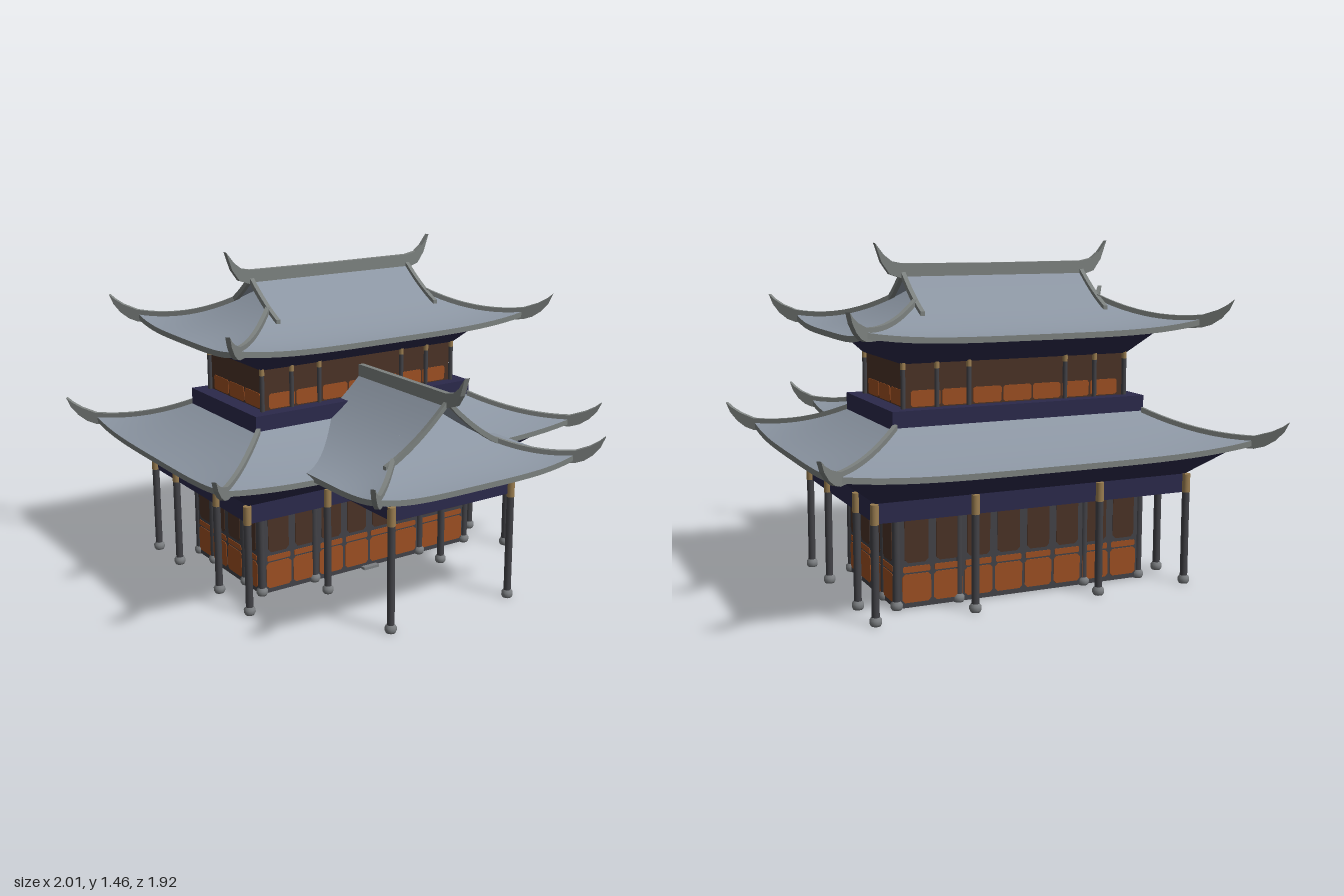
import * as THREE from 'three';

const mat = (name, color, side = THREE.FrontSide) => {
  const m = new THREE.MeshStandardMaterial({ color, side });
  m.name = name;
  return m;
};
const TILE = mat('roofTile', 0x8c96a3, THREE.DoubleSide);
const RIDGE = mat('ridgeGrey', 0x7c817f, THREE.DoubleSide);
const NAVY = mat('navyTimber', 0x2b294b, THREE.DoubleSide);
const POST = mat('darkTimber', 0x424247);
const ORANGE = mat('orangePanel', 0x9c4f22);
const BROWN = mat('brownLattice', 0x4a3226);
const TAN = mat('tanCap', 0x9a7d50);
const STONE = mat('baseStone', 0x7c7f82);
const CZ = -0.2175; // centre of the main hall

function add(parent, name, geo, material, x = 0, y = 0, z = 0, ry = 0) {
  const m = new THREE.Mesh(geo, material);
  m.name = name;
  m.position.set(x, y, z);
  m.rotation.y = ry;
  parent.add(m);
  return m;
}

// Box between heights y0 and y1, with its upper half sizes optionally flared
function block(parent, name, material, hx, hz, y0, y1, z = 0, flare = 0) {
  const g = new THREE.BoxGeometry(2 * hx, y1 - y0, 2 * hz);
  const p = g.attributes.position;
  for (let i = 0; i < p.count; i++) if (p.getY(i) > 0) {
    p.setX(i, p.getX(i) + Math.sign(p.getX(i)) * flare);
    p.setZ(i, p.getZ(i) + Math.sign(p.getZ(i)) * flare);
  }
  g.computeVertexNormals();
  return add(parent, name, g, material, 0, (y0 + y1) / 2, z);
}

// Surface through f(s, t) with s from -1 to 1 and t from 0 to 1
function sheet(f, ns, nt) {
  const pos = [], idx = [];
  for (let j = 0; j <= nt; j++) for (let i = 0; i <= ns; i++) {
    pos.push(...f(-1 + 2 * i / ns, j / nt));
    if (i < ns && j < nt) {
      const a = j * (ns + 1) + i, b = a + ns + 1;
      idx.push(a, a + 1, b, a + 1, b + 1, b);
    }
  }
  const g = new THREE.BufferGeometry();
  g.setAttribute('position', new THREE.Float32BufferAttribute(pos, 3));
  g.setIndex(idx);
  g.computeVertexNormals();
  return g;
}

function extrude(points, depth) {
  const g = new THREE.ExtrudeGeometry(new THREE.Shape(points.map(p => new THREE.Vector2(...p))),
    { depth, bevelEnabled: false });
  return g.translate(0, 0, -depth / 2);
}

// Curved hip-and-gable roof; ridge along x, eave half sizes A and B.
// d is the distance in from the eave, G the gable's x, open drops the -x end.
function roof(name, { A, B, y0, a, b, dMax, dEnd, G = 0, tip, dHip, dBarge = 0, open = false }) {
  const r = new THREE.Group();
  r.name = name;
  const thick = 0.024, dUnder = 0.24;
  const h = d => y0 + a * d + b * d * d;
  const fade = d => Math.max(0, 1 - d / 0.3) ** 2;
  const lift = (s, d) => open && s < 0 ? 0 : 0.035 * Math.abs(s) ** 4 * fade(d);
  const ends = open ? [1] : [1, -1];
  const longSide = (k, s, d, drop) => {
    const w = Math.max(A - d, G);
    const x = open ? -A + (s + 1) / 2 * (w + A) : s * w;
    return [x, h(d) + lift(s, d) - drop, k * (B - d)];
  };
  const endSide = (k, s, d, drop) =>
    [k * (A - d), h(d) + 0.035 * Math.abs(s) ** 4 * fade(d) - drop, s * (B - d)];

  // Slope, underside and eave trim of one side
  const face = (f, k, depth) => {
    add(r, 'slope', sheet((s, t) => f(k, s, t * depth, 0), 24, 16), TILE);
    add(r, 'underside', sheet((s, t) => f(k, s, t * dUnder, thick), 24, 8), NAVY);
    add(r, 'eaveTrim', sheet((s, t) => f(k, s, 0, thick * (1 - t)), 24, 1), RIDGE);
  };
  for (const k of [1, -1]) face(longSide, k, dMax);
  for (const k of ends) face(endSide, k, dEnd);

  // Strip that rides on the slope profile, running outwards along +x
  const strip = (d0, d1, scale, low, high, corner, tail = []) => {
    const up = [], down = [];
    for (let i = 0; i <= 10; i++) {
      const d = d0 + (d1 - d0) * i / 10;
      const y = h(d) + (corner ? 0.035 * fade(d) : 0);
      up.push([-d * scale, y + high]);
      down.unshift([-d * scale, y - low]);
    }
    return extrude([...up, ...tail, ...down], 0.019);
  };
  const u = tip * Math.SQRT2;
  const tail = [[u * 0.5, y0 + 0.075], [u * 0.8, y0 + 0.097], [u, y0 + 0.118],
    [u * 0.85, y0 + 0.075], [u * 0.6, y0 + 0.038], [u * 0.3, y0 + 0.012]];
  const hip = strip(dHip, 0, Math.SQRT2, 0.035, 0.018, true, tail);
  for (const sx of ends) for (const sz of [1, -1]) {
    add(r, 'hipRidge', hip, RIDGE, sx * A, 0, sz * B, Math.atan2(-sz, sx));
    if (G) add(r, 'bargeRidge', strip(dMax, dBarge, 1, 0.008, 0.018, false), RIDGE,
      sx * G, 0, sz * B, -sz * Math.PI / 2);
  }

  if (G) {
    const y = h(dMax), w = B - dEnd;
    const x0 = open ? -A : 0;
    const bar = extrude([[x0, y - 0.02], [G, y - 0.02], [G + 0.06, y], [G + 0.095, y + 0.05],
      [G + 0.122, y + 0.128], [G + 0.085, y + 0.08], [G + 0.05, y + 0.053], [G, y + 0.043], [x0, y + 0.041]], 0.025);
    const gable = new THREE.ShapeGeometry(new THREE.Shape([
      new THREE.Vector2(-w, h(dEnd) - 0.01), new THREE.Vector2(w, h(dEnd) - 0.01), new THREE.Vector2(0, y)]));
    for (const k of ends) {
      add(r, 'mainRidge', bar, RIDGE, 0, 0, 0, k > 0 ? 0 : Math.PI);
      add(r, 'gableBoard', gable, NAVY, k * (A - dEnd), 0, 0, k * Math.PI / 2);
    }
  }
  return r;
}

// Round post with a stone foot and a tan cap
function column(parent, x, z, top, cap = 0.08, y0 = 0, rad = 0.016) {
  const c = new THREE.Group();
  c.name = 'column';
  c.position.set(x, 0, z);
  add(c, 'shaft', new THREE.CylinderGeometry(rad, rad, top - cap - y0, 12), POST, 0, (top - cap + y0) / 2);
  if (cap) add(c, 'cap', new THREE.CylinderGeometry(rad * 1.08, rad * 1.08, cap, 12), TAN, 0, top - cap / 2);
  if (!y0) {
    const foot = [[0, 0], [0.02, 0], [0.025, 0.01], [0.025, 0.024], [0.017, 0.035]];
    add(c, 'foot', new THREE.LatheGeometry(foot.map(p => new THREE.Vector2(...p)), 12), STONE);
  }
  parent.add(c);
}

// Thin plate with clipped corners
function plate(w, y0, y1, c) {
  const k = w / 2;
  return extrude([[-k + c, y0], [k - c, y0], [k, y0 + c], [k, y1 - c], [k - c, y1],
    [-k + c, y1], [-k, y1 - c], [-k, y0 + c]], 0.009);
}

// Four thin walls, open below, with rows of plates that show on both faces
function storey(parent, name, material, hx, hz, bottom, top, counts, rows) {
  for (let side = 0; side < 4; side++) {
    const g = new THREE.Group();
    g.name = name;
    g.rotation.y = side * Math.PI / 2;
    g.position.z = CZ;
    const n = counts[side % 2], half = side % 2 ? hz : hx, out = side % 2 ? hx : hz;
    const pitch = (2 * half - 0.04) / n;
    add(g, 'wall', new THREE.BoxGeometry(2 * half, top - bottom, 0.004), material, 0, (top + bottom) / 2, out);
    for (const [part, m, gap, y0, y1, c] of rows) for (let i = 0; i < n; i++)
      add(g, part, plate(pitch - gap, y0, y1, c), m, (i - (n - 1) / 2) * pitch, 0, out);
    parent.add(g);
  }
}

export function createModel() {
  const model = new THREE.Group();
  model.name = 'pavilion';

  // Ground storey
  storey(model, 'lowerWall', POST, 0.565, 0.3, 0.004, 0.41, [8, 4], [
    ['lowerPanel', ORANGE, 0.012, 0.025, 0.143, 0.012],
    ['middlePanel', ORANGE, 0.02, 0.15, 0.175, 0.004],
    ['latticePanel', BROWN, 0.034, 0.19, 0.382, 0.014]]);
  add(model, 'doorStep', new THREE.BoxGeometry(0.08, 0.012, 0.03), STONE, 0, 0.006, 0.095);
  block(model, 'lowerBeam', NAVY, 0.695, 0.438, 0.4, 0.48, CZ);
  block(model, 'lowerBrackets', NAVY, 0.695, 0.438, 0.48, 0.6, CZ, 0.14);
  for (const sx of [1, -1]) {
    for (const z of [-0.66, -0.44, -0.05, 0.22]) column(model, sx * 0.7, z, 0.48);
    column(model, sx * 0.28, -0.66, 0.48);
    column(model, sx * 0.31, 0.22, 0.48);
    for (const z of [-0.51, -0.365, -0.065, 0.08]) column(model, sx * 0.56, z, 0.4, 0);
    for (const z of [-0.51, 0.08]) column(model, sx * 0.29, z, 0.4, 0);
    column(model, sx * 0.31, 0.69, 0.54);
  }
  const lowerRoof = roof('lowerRoof', { A: 0.9, B: 0.6375, y0: 0.608, a: 0.21, b: 0.5,
    dMax: 0.35, dEnd: 0.35, dHip: 0.34, tip: 0.1 });
  lowerRoof.position.z = CZ;
  model.add(lowerRoof);

  // Porch with its own gabled roof, ridge running forward
  block(model, 'porchBeam', NAVY, 0.305, 0.29, 0.475, 0.54, 0.4);
  block(model, 'porchBrackets', NAVY, 0.305, 0.29, 0.54, 0.61, 0.4, 0.14);
  const porchRoof = roof('porchRoof', { A: 0.425, B: 0.5, y0: 0.625, a: 0.086, b: 0.948,
    dMax: 0.5, dEnd: 0.405, G: 0.195, dHip: 0.235, dBarge: 0.19, tip: 0.085, open: true });
  porchRoof.position.z = 0.445;
  porchRoof.rotation.y = -Math.PI / 2;
  model.add(porchRoof);

  // Upper storey
  block(model, 'balconyBand', NAVY, 0.57, 0.295, 0.725, 0.805, CZ);
  storey(model, 'upperWall', BROWN, 0.495, 0.232, 0.8, 0.99, [7, 3],
    [['upperPanel', ORANGE, 0.008, 0.81, 0.876, 0.008]]);
  for (const sx of [1, -1]) for (const sz of [1, -1])
    for (const x of [0.505, 0.36, 0.22]) column(model, sx * x, CZ + sz * 0.238, 0.99, 0.028, 0.8, 0.01);
  block(model, 'upperBrackets', NAVY, 0.51, 0.242, 0.985, 1.09, CZ, 0.1);
  const upperRoof = roof('upperRoof', { A: 0.74, B: 0.47, y0: 1.105, a: 0.066, b: 0.87,
    dMax: 0.47, dEnd: 0.385, G: 0.415, dHip: 0.32, dBarge: 0.24, tip: 0.092 });
  upperRoof.position.z = CZ;
  model.add(upperRoof);

  return model;
}
